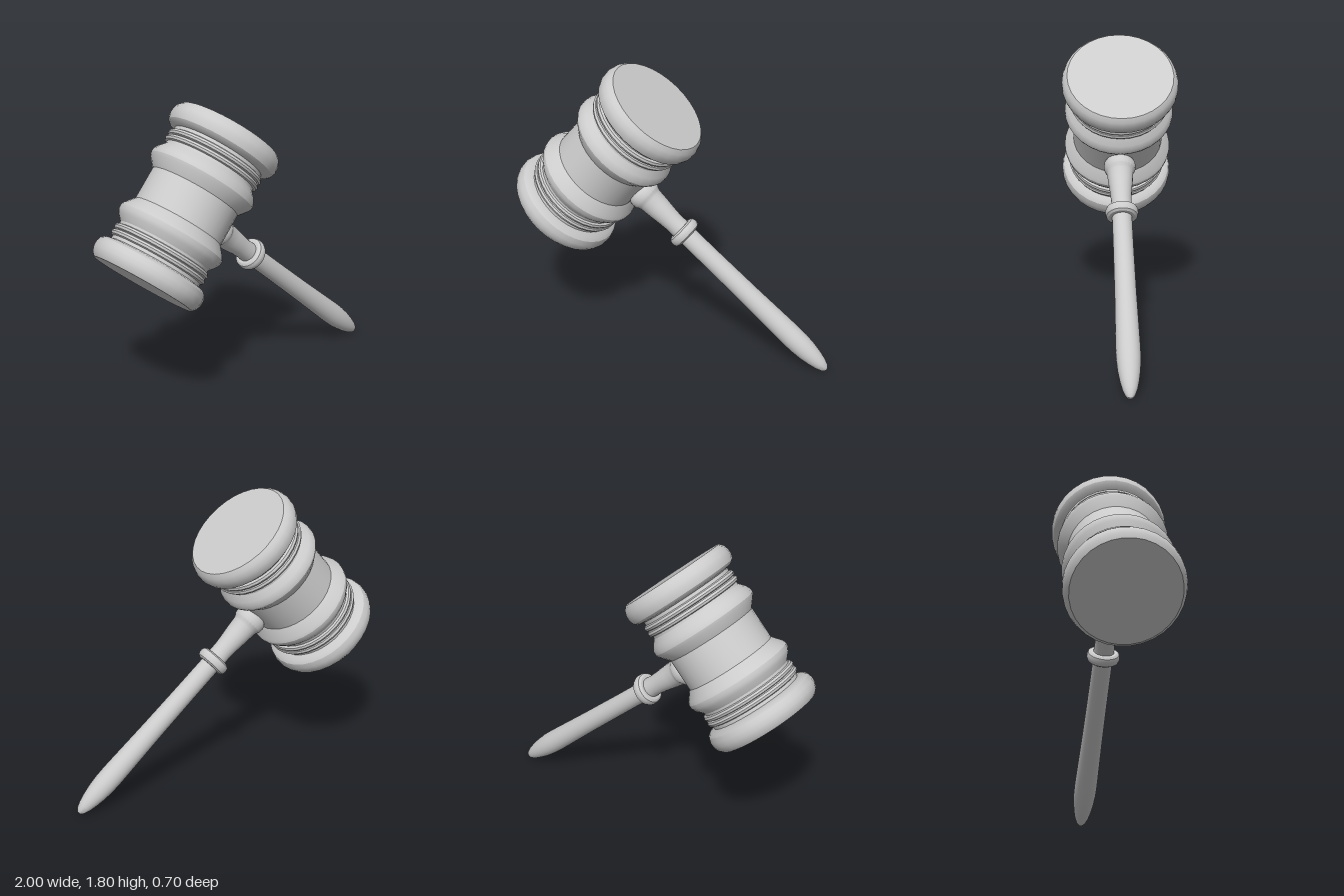
import * as THREE from 'three';
import { toCreasedNormals } from 'three/addons/utils/BufferGeometryUtils.js';

const material = new THREE.MeshStandardMaterial({ color: 0xcccccc });

// Turned part: profile points are [radius, height], listed bottom to top.
function turned(name, profile, segments) {
  const points = profile.map(([r, y]) => new THREE.Vector2(r, y));
  const geometry = toCreasedNormals(new THREE.LatheGeometry(points, segments), 0.5);
  const mesh = new THREE.Mesh(geometry, material);
  mesh.name = name;
  return mesh;
}

export function createModel() {
  const gavel = new THREE.Group();
  gavel.name = 'gavel';

  // Head: half profile from the waist to the striking face, mirrored below
  const half = [
    [0.28, 0.1], [0.325, 0.155], [0.334, 0.175], [0.332, 0.2], [0.318, 0.225], // shoulder
    [0.288, 0.26], [0.286, 0.275],
    [0.3, 0.28], [0.306, 0.293], [0.3, 0.307], [0.288, 0.312],                 // inner bead
    [0.3, 0.317], [0.306, 0.33], [0.3, 0.344], [0.286, 0.35],                  // outer bead
    [0.286, 0.37], [0.322, 0.379], [0.341, 0.395], [0.351, 0.425],             // rim
    [0.35, 0.455], [0.34, 0.485], [0.319, 0.508], [0, 0.508],
  ];
  const mirrored = half.map(([r, y]) => [r, -y]).reverse();
  gavel.add(turned('head', [...mirrored, ...half], 32));

  // Neck: ferrule seated in the head, then a taper toward the collar
  const neck = turned('neck', [
    [0, 0.2], [0.085, 0.2], [0.085, 0.27], [0.095, 0.285], [0.098, 0.305],
    [0.095, 0.33], [0.085, 0.345], [0.08, 0.36], [0.075, 0.42], [0.066, 0.5],
    [0.061, 0.56], [0.063, 0.62], [0, 0.62],
  ], 24);

  const collar = turned('collar', [
    [0, 0.61], [0.08, 0.61], [0.094, 0.619], [0.1, 0.635], [0.1, 0.652],
    [0.094, 0.668], [0.08, 0.677], [0, 0.677],
  ], 24);

  // Grip: swells slightly before the rounded tip
  const grip = turned('grip', [
    [0, 0.65], [0.06, 0.65], [0.061, 0.9], [0.064, 1.2], [0.068, 1.4], [0.071, 1.55],
    [0.07, 1.62], [0.064, 1.69], [0.054, 1.75], [0.042, 1.8], [0.028, 1.835],
    [0.014, 1.852], [0, 1.857],
  ], 24);

  const handle = new THREE.Group();
  handle.name = 'handle';
  handle.add(neck, collar, grip);
  handle.rotation.z = -Math.PI / 2;
  gavel.add(handle);

  // Lean the whole tool so it rests on the tip of the grip
  gavel.rotation.z = THREE.MathUtils.degToRad(-40);
  gavel.position.set(-0.43, 1.214, 0);

  const model = new THREE.Group();
  model.add(gavel);
  return model;
}
